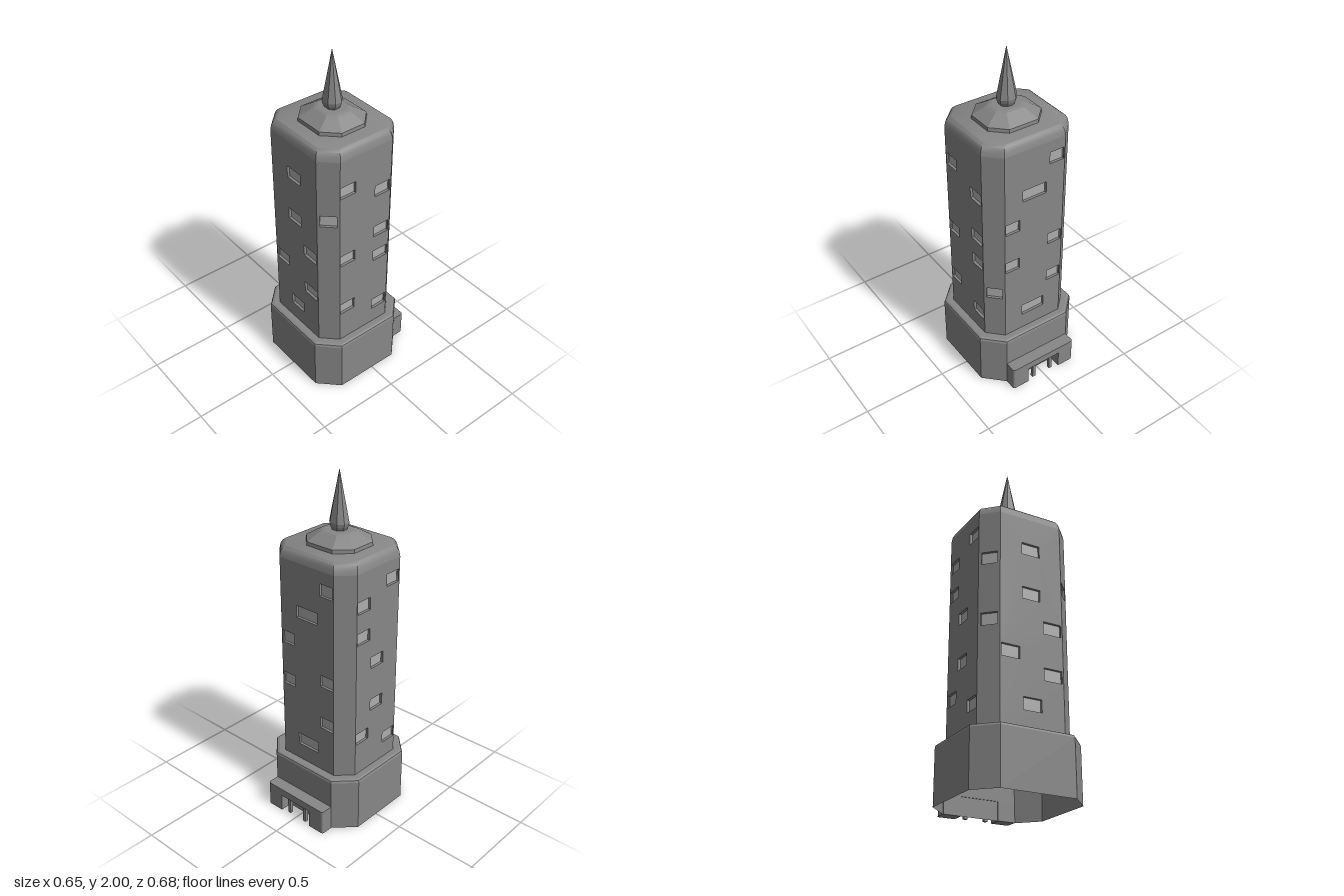
import * as THREE from 'three';
import { toCreasedNormals } from 'three/addons/utils/BufferGeometryUtils.js';

const CZ = 0.036; // tower axis in z
const stone = new THREE.MeshStandardMaterial({ color: 0x878787 });
const shell = new THREE.MeshStandardMaterial({ color: 0x878787, side: THREE.DoubleSide });
const pane = new THREE.MeshStandardMaterial({ color: 0xadadad });

// Rectangle with cut corners, starting at the front edge
function octagon(hx, hz, c) {
  const a = hx - c, b = hz - c;
  return [[-a, hz], [a, hz], [hx, b], [hx, -b], [a, -hz], [-a, -hz], [-hx, -b], [-hx, b]];
}

// Joins octagon rings [y, halfX, halfZ, cut] with flat faces and caps the top
function loft(rings) {
  const pos = [];
  const rows = rings.map(([y, hx, hz, c]) => octagon(hx, hz, c).map(([x, z]) => [x, y, z]));
  for (let r = 0; r < rows.length - 1; r++) {
    for (let i = 0; i < 8; i++) {
      const j = (i + 1) % 8, lo = rows[r], hi = rows[r + 1];
      pos.push(...lo[i], ...lo[j], ...hi[j], ...lo[i], ...hi[j], ...hi[i]);
    }
  }
  const top = rows[rows.length - 1];
  for (let i = 1; i < 7; i++) pos.push(...top[0], ...top[i], ...top[i + 1]);
  const g = new THREE.BufferGeometry();
  g.setAttribute('position', new THREE.Float32BufferAttribute(pos, 3));
  g.computeVertexNormals();
  return g;
}

function addMesh(parent, name, geometry, material = stone) {
  const mesh = new THREE.Mesh(geometry, material);
  mesh.name = name;
  parent.add(mesh);
  return mesh;
}

// Windows per wall as [offset along wall, height, width]
const WINDOW_H = 0.07, RECESS = 0.015;
const WINDOWS = [
  // front
  [[0, 1.36, 0.11], [0, 1.09, 0.11], [0.127, 0.91, 0.11], [-0.127, 0.735, 0.11], [0.127, 0.645, 0.11], [0, 0.465, 0.11]],
  // front +x corner
  [[0, 1.18, 0.09]],
  // +x side
  [[-0.118, 1.36, 0.1], [-0.118, 0.91, 0.1], [-0.118, 0.56, 0.1],
    [0.113, 1.27, 0.1], [0.113, 1.0, 0.1], [0.113, 0.83, 0.1], [0.113, 0.465, 0.1]],
  // back +x corner
  [[0, 0.645, 0.09]],
  // back
  [[0, 1.27, 0.15], [0, 0.465, 0.15], [0.139, 1.445, 0.09], [0.139, 0.91, 0.09], [0.139, 0.645, 0.09],
    [-0.139, 1.09, 0.09], [-0.139, 0.83, 0.09]],
  // back -x corner
  [],
  // -x side
  [[-0.115, 1.36, 0.1], [-0.115, 1.18, 0.1], [-0.115, 0.56, 0.1], [0, 1.0, 0.1], [0, 0.735, 0.1],
    [0.115, 1.445, 0.1], [0.115, 0.465, 0.1]],
  // front -x corner
  [[0, 1.27, 0.09], [0, 0.91, 0.09]],
];

function rect(target, x0, y0, x1, y1) {
  target.moveTo(x0, y0);
  target.lineTo(x1, y0);
  target.lineTo(x1, y1);
  target.lineTo(x0, y1);
  target.closePath();
  return target;
}

// One wall of the shaft with recessed windows
function wall(p, q, windows) {
  const group = new THREE.Group();
  group.name = 'shaftWall';
  const w = Math.hypot(q[0] - p[0], q[1] - p[1]) / 2;
  const shape = rect(new THREE.Shape(), -w, 0.32, w, 1.55);
  for (const [u, y, ww] of windows) {
    shape.holes.push(rect(new THREE.Path(), u - ww / 2, y - WINDOW_H / 2, u + ww / 2, y + WINDOW_H / 2));
    addMesh(group, 'windowPane', new THREE.PlaneGeometry(ww, WINDOW_H), pane).position.set(u, y, -RECESS);
  }
  const panel = new THREE.ExtrudeGeometry(shape, { depth: RECESS, bevelEnabled: false });
  panel.translate(0, 0, -RECESS);
  addMesh(group, 'wallPanel', panel);
  group.position.set((p[0] + q[0]) / 2, 0, (p[1] + q[1]) / 2);
  group.rotation.y = Math.atan2(p[1] - q[1], q[0] - p[0]);
  return group;
}

// Upright block from a plan, with the chosen back corners rounded
function porchBlock(x0, x1, y0, y1, round0, round1) {
  const r0 = round0 ? 0.015 : 0, r1 = round1 ? 0.015 : 0, near = 0.265, far = 0.342;
  const s = new THREE.Shape();
  s.moveTo(x0, near);
  s.lineTo(x1, near);
  s.lineTo(x1, far - r1);
  if (r1) s.quadraticCurveTo(x1, far, x1 - r1, far);
  s.lineTo(x0 + r0, far);
  if (r0) s.quadraticCurveTo(x0, far, x0, far - r0);
  s.closePath();
  const g = new THREE.ExtrudeGeometry(s, { depth: y1 - y0, bevelEnabled: false, curveSegments: 5 });
  g.rotateX(-Math.PI / 2);
  g.translate(0, y0, 0);
  return g;
}

export function createModel() {
  const model = new THREE.Group();
  model.name = 'tower';
  const tower = new THREE.Group();
  tower.name = 'towerBody';
  tower.position.z = CZ;
  model.add(tower);

  // Base, open underneath, with a softened upper edge
  addMesh(tower, 'base', loft([
    [0, 0.325, 0.306, 0.11], [0.313, 0.325, 0.306, 0.11], [0.325, 0.321, 0.302, 0.109],
    [0.33, 0.31, 0.291, 0.106],
  ]), shell);

  // Shaft walls
  const corners = octagon(0.275, 0.256, 0.085);
  corners.forEach((p, i) => tower.add(wall(p, corners[(i + 1) % 8], WINDOWS[i])));

  // Rounded shoulder and flat roof
  addMesh(tower, 'roof', toCreasedNormals(loft([
    [1.55, 0.275, 0.256, 0.085], [1.58, 0.27, 0.251, 0.084], [1.598, 0.261, 0.242, 0.082],
    [1.61, 0.246, 0.229, 0.079],
  ]), 0.6));

  // Stepped cap under the spire
  addMesh(tower, 'cap', loft([
    [1.605, 0.17, 0.156, 0.08], [1.63, 0.168, 0.154, 0.08], [1.668, 0.108, 0.094, 0.047],
    [1.677, 0.092, 0.08, 0.04], [1.681, 0.075, 0.066, 0.034],
  ]));

  // Spire
  addMesh(tower, 'spire', loft([
    [1.675, 0.036, 0.033, 0.019], [1.7, 0.048, 0.044, 0.026], [1.72, 0.053, 0.048, 0.028],
    [2.0, 0.0008, 0.0008, 0.0004],
  ]));

  // Entrance porch at the back
  const porch = new THREE.Group();
  porch.name = 'entrancePorch';
  model.add(porch);
  addMesh(porch, 'porchLintel', porchBlock(-0.215, 0.215, 0.105, 0.15, true, true));
  addMesh(porch, 'porchSide', porchBlock(0.11, 0.215, 0, 0.105, false, true));
  addMesh(porch, 'porchSide', porchBlock(-0.215, -0.11, 0, 0.105, true, false));
  for (const x of [-0.06, 0.06]) {
    addMesh(porch, 'porchPost', new THREE.BoxGeometry(0.02, 0.105, 0.02)).position.set(x, 0.0525, -0.32);
  }
  return model;
}
